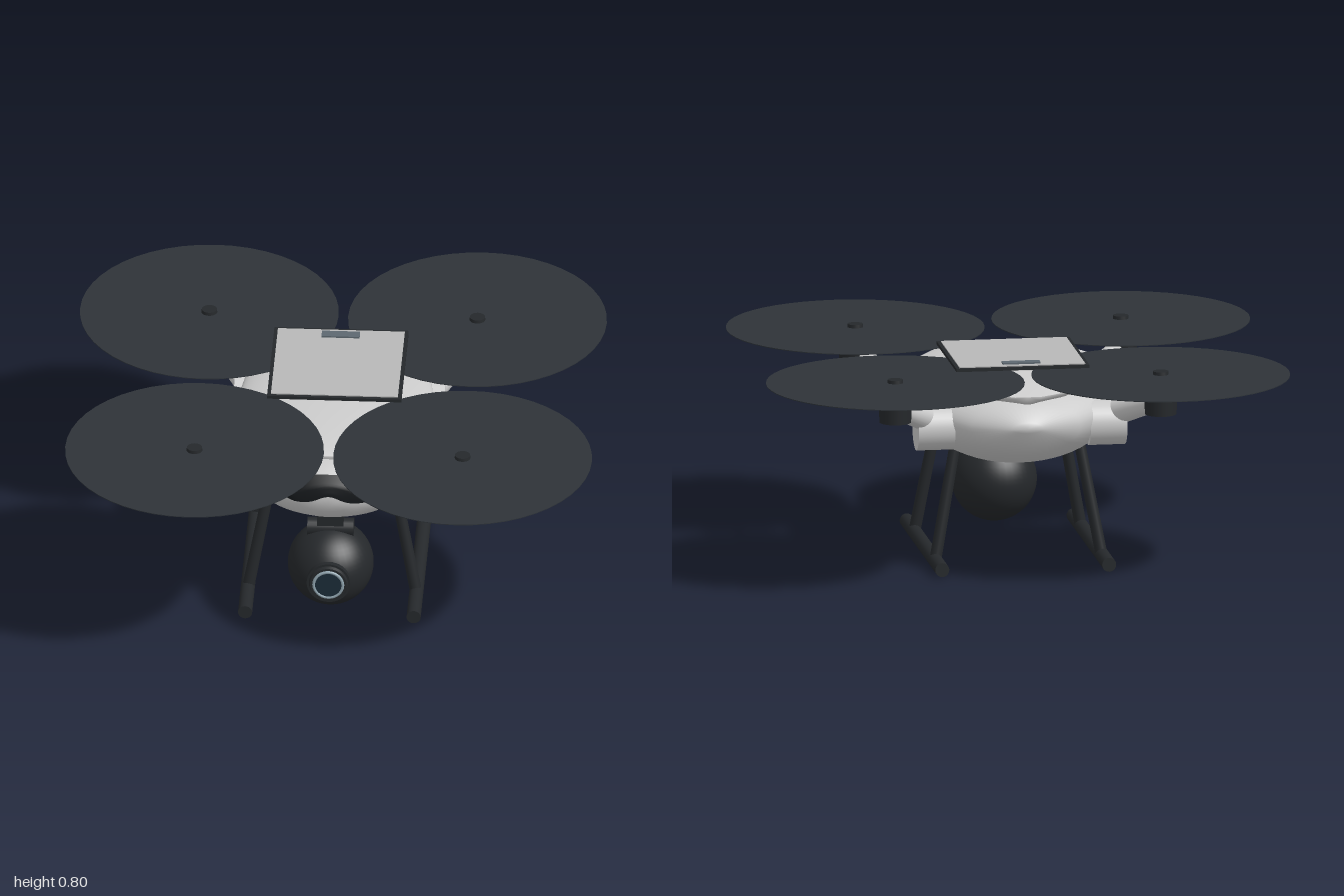
import * as THREE from 'three';

const mat = (color, side = THREE.FrontSide) => new THREE.MeshStandardMaterial({ color, side });
const grey = mat(0xcccccc);
const dark = mat(0x25282b);
const black = mat(0x15181b, THREE.DoubleSide);
const rotorMat = mat(0x2e3338);
const bladeMat = mat(0x1b1d20);
const ringMat = mat(0x8fa3ad);
const glassMat = mat(0x1c2c38);
const padMat = mat(0xb8b8b8);
const slotMat = mat(0x5d6870);

function add(parent, name, geometry, material, x = 0, y = 0, z = 0) {
  const mesh = new THREE.Mesh(geometry, material);
  mesh.name = name;
  mesh.position.set(x, y, z);
  parent.add(mesh);
  return mesh;
}

// Cylinder between two points
function rod(parent, name, a, b, r0, r1, material, sides = 20) {
  const p = new THREE.Vector3(...a), q = new THREE.Vector3(...b);
  const mesh = add(parent, name, new THREE.CylinderGeometry(r1, r0, p.distanceTo(q), sides), material);
  mesh.position.copy(p).lerp(q, 0.5);
  mesh.quaternion.setFromUnitVectors(new THREE.Vector3(0, 1, 0), q.sub(p).normalize());
  return mesh;
}

// Egg-shaped shell: stations run front to back as [z, halfWidth, top, bottom]
function loft(stations, mid, n = 48) {
  const pos = [], index = [];
  for (const [z, w, top, bottom] of stations) {
    for (let j = 0; j < n; j++) {
      const a = (j / n) * Math.PI * 2, s = Math.sin(a);
      pos.push(w * Math.cos(a), mid + s * (s > 0 ? top - mid : mid - bottom), z);
    }
  }
  const last = stations.length - 1;
  for (let i = 0; i < last; i++) {
    for (let j = 0; j < n; j++) {
      const a = i * n + j, b = i * n + (j + 1) % n;
      index.push(a, a + n, b, b, a + n, b + n);
    }
  }
  // End caps
  const front = pos.length / 3;
  pos.push(0, mid, stations[0][0], 0, mid, stations[last][0]);
  for (let j = 0; j < n; j++) {
    const k = (j + 1) % n;
    index.push(front, j, k, front + 1, last * n + k, last * n + j);
  }
  const g = new THREE.BufferGeometry();
  g.setAttribute('position', new THREE.Float32BufferAttribute(pos, 3));
  g.setIndex(index);
  g.computeVertexNormals();
  return g;
}

const MID = 0.575;
const hull = [
  [0.515, 0.04, 0.60, 0.55], [0.505, 0.13, 0.63, 0.515], [0.47, 0.20, 0.668, 0.47],
  [0.41, 0.27, 0.69, 0.435], [0.30, 0.335, 0.70, 0.407], [0.15, 0.385, 0.705, 0.393],
  [0, 0.40, 0.705, 0.38], [-0.15, 0.385, 0.705, 0.39], [-0.30, 0.33, 0.70, 0.402],
  [-0.46, 0.21, 0.67, 0.465], [-0.51, 0.06, 0.60, 0.56],
];
const lid = [
  [0.41, 0.08, 0.705, 0.675], [0.38, 0.17, 0.725, 0.67], [0.29, 0.27, 0.75, 0.667],
  [0.15, 0.35, 0.765, 0.665], [0, 0.373, 0.77, 0.665], [-0.15, 0.355, 0.765, 0.665],
  [-0.30, 0.29, 0.752, 0.665], [-0.43, 0.18, 0.73, 0.667], [-0.51, 0.05, 0.69, 0.672],
];

// Front surface depth of the hull at (x, y)
function hullFront(x, y) {
  let lo = 0, hi = 0.515;
  for (let k = 0; k < 24; k++) {
    const z = (lo + hi) / 2;
    const i = Math.max(1, hull.findIndex((s) => s[0] <= z));
    const A = hull[i - 1], B = hull[i], t = (A[0] - z) / (A[0] - B[0]);
    const [, w, top, bottom] = A.map((v, c) => v + (B[c] - v) * t);
    const h = y > MID ? top - MID : MID - bottom;
    if ((x / w) ** 2 + ((y - MID) / h) ** 2 < 1) lo = z; else hi = z;
  }
  return lo;
}

// Goggle-shaped window wrapped onto the nose
function visorGeometry() {
  const g = new THREE.PlaneGeometry(2, 1, 48, 12);
  const p = g.attributes.position;
  for (let i = 0; i < p.count; i++) {
    const x = 0.23 * Math.sin(p.getX(i) * Math.PI / 2), t = p.getY(i) + 0.5;
    const e = Math.sqrt(Math.max(0, 1 - (x / 0.23) ** 2));
    const top = 0.612 + 0.052 * e;
    const bottom = 0.612 - 0.06 * e + 0.038 * Math.exp(-((x / 0.06) ** 2));
    const y = bottom + (top - bottom) * t;
    p.setXYZ(i, x * 1.01, y, hullFront(x, y) + 0.007);
  }
  g.computeVertexNormals();
  return g;
}

export function createModel() {
  const model = new THREE.Group();
  model.name = 'quadcopter';

  // Body
  add(model, 'hull', loft(hull, MID), grey);
  add(model, 'lid', loft(lid, 0.70), grey);
  add(model, 'visor', visorGeometry(), black);

  // Landing pad on the roof
  const pad = new THREE.Group();
  pad.name = 'topPad';
  pad.position.set(0, 0, -0.128);
  model.add(pad);
  add(pad, 'padSupport', new THREE.BoxGeometry(0.3, 0.03, 0.3), grey, 0, 0.768, 0);
  add(pad, 'padFrame', new THREE.BoxGeometry(0.51, 0.012, 0.506), dark, 0, 0.784, 0);
  add(pad, 'padPlate', new THREE.BoxGeometry(0.482, 0.012, 0.478), padMat, 0, 0.788, 0);
  add(pad, 'padSlot', new THREE.BoxGeometry(0.145, 0.01, 0.04), slotMat, 0, 0.795, -0.2);

  // Four arms with motors and rotors
  for (const sx of [1, -1]) {
    for (const sz of [1, -1]) {
      const arm = new THREE.Group();
      arm.name = (sz > 0 ? 'front' : 'back') + (sx > 0 ? 'Left' : 'Right') + 'Arm';
      model.add(arm);
      rod(arm, 'armSocket', [sx * 0.26, 0.55, sz * 0.302], [sx * 0.4, 0.55, sz * 0.302], 0.086, 0.086, grey, 32);
      rod(arm, 'armBeam', [sx * 0.34, 0.575, sz * 0.29], [sx * 0.5, 0.665, sz * 0.495], 0.05, 0.036, grey);
      const rotor = new THREE.Group();
      rotor.name = 'rotor';
      rotor.position.set(sx * 0.509, 0, sz * 0.507);
      arm.add(rotor);
      add(rotor, 'motorBase', new THREE.CylinderGeometry(0.064, 0.06, 0.075, 28), dark, 0, 0.657, 0);
      add(rotor, 'motorBell', new THREE.CylinderGeometry(0.068, 0.068, 0.056, 28), grey, 0, 0.722, 0);
      add(rotor, 'motorShaft', new THREE.CylinderGeometry(0.02, 0.02, 0.03, 16), dark, 0, 0.757, 0);
      add(rotor, 'rotorHub', new THREE.CylinderGeometry(0.029, 0.032, 0.03, 20), dark, 0, 0.77, 0);
      add(rotor, 'rotorDisc', new THREE.CylinderGeometry(0.491, 0.491, 0.003, 48), rotorMat, 0, 0.771, 0);
      const blade = add(rotor, 'rotorBlade', new THREE.CylinderGeometry(0.48, 0.48, 0.006, 32), bladeMat, 0, 0.768, 0);
      blade.scale.z = 0.085;
      blade.rotation.y = 0.12;
    }

    // Landing gear
    const gear = new THREE.Group();
    gear.name = sx > 0 ? 'leftLandingGear' : 'rightLandingGear';
    model.add(gear);
    rod(gear, 'skid', [sx * 0.32, 0.027, 0.453], [sx * 0.32, 0.027, -0.45], 0.027, 0.027, dark);
    for (const sz of [1, -1]) {
      rod(gear, 'leg', [sx * 0.318, 0.03, sz * 0.264], [sx * 0.235, 0.48, sz * 0.228], 0.023, 0.021, dark);
    }
  }

  // Camera hanging under the nose
  const cam = new THREE.Group();
  cam.name = 'cameraGimbal';
  cam.position.set(0, 0.204, 0.355);
  model.add(cam);
  rod(cam, 'gimbalMount', [-0.088, 0.155, 0], [0.088, 0.155, 0], 0.036, 0.036, dark);
  add(cam, 'gimbalNeck', new THREE.BoxGeometry(0.1, 0.12, 0.06), dark, 0, 0.19, 0);
  add(cam, 'cameraBall', new THREE.SphereGeometry(0.163, 40, 28), dark);
  rod(cam, 'lensBarrel', [0, 0, 0.1], [0, 0, 0.16], 0.083, 0.083, dark, 36);
  rod(cam, 'lensRim', [0, 0, 0.15], [0, 0, 0.172], 0.078, 0.07, dark, 36);
  add(cam, 'lensRing', new THREE.TorusGeometry(0.055, 0.006, 10, 40), ringMat, 0, 0, 0.172);
  rod(cam, 'lensGlass', [0, 0, 0.165], [0, 0, 0.175], 0.052, 0.05, glassMat, 36);

  return model;
}
